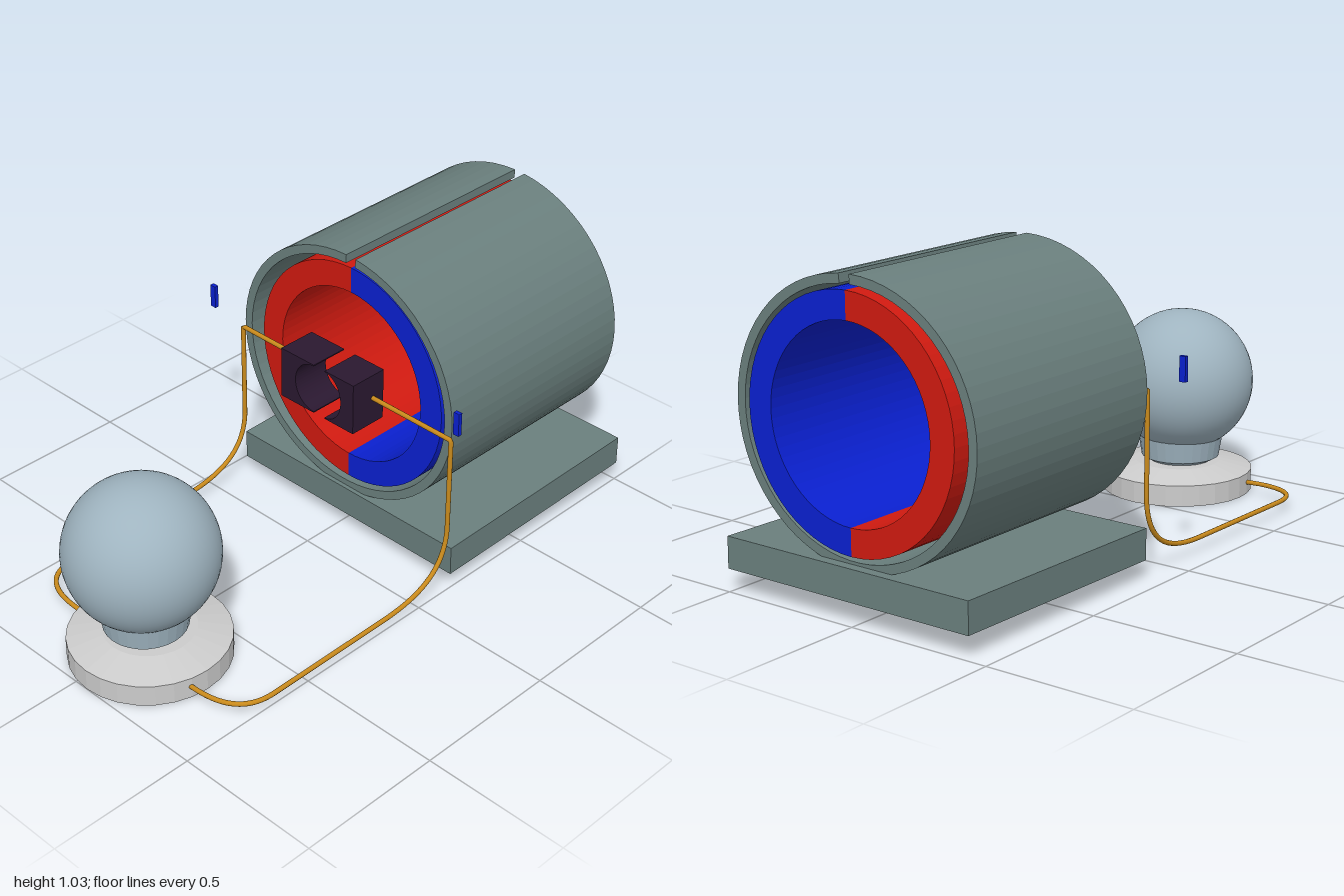
import * as THREE from 'three';

const mat = (color, flat = true) => new THREE.MeshStandardMaterial({ color, flatShading: flat });
const STEEL = mat(0x6a7f7d), RED = mat(0xd01a10), BLUE = mat(0x0a20d0), CARBON = mat(0x2a1830);
const COPPER = mat(0xc98a1c, false), GLASS = mat(0x9fb4c0, false), CAP = mat(0x9fb4c0), GREY = mat(0xcccccc);

export function createModel() {
  const model = new THREE.Group();

  const add = (name, geometry, material, x = 0, y = 0, z = 0) => {
    const mesh = new THREE.Mesh(geometry, material);
    mesh.name = name;
    mesh.position.set(x, y, z);
    model.add(mesh);
    return mesh;
  };

  // Part of a ring, from angle a to b in degrees, extruded along z
  const ringSector = (rOut, rIn, a, b, depth, segments) => {
    const s = THREE.MathUtils.degToRad(a), e = THREE.MathUtils.degToRad(b);
    const shape = new THREE.Shape();
    shape.absarc(0, 0, rOut, s, e, false);
    shape.absarc(0, 0, rIn, e, s, true);
    return new THREE.ExtrudeGeometry(shape, { depth, bevelEnabled: false, curveSegments: segments });
  };

  // Slotted steel shell around the two half-ring magnets
  const shell = add('magnetShell', ringSector(0.459, 0.428, 90, 445, 0.805, 32), STEEL, 0.015, 0.594, -0.96);
  shell.scale.y = 0.957;
  add('leftMagnet', ringSector(0.394, 0.306, 90, 270, 0.8, 16), RED, 0.027, 0.593, -0.965);
  add('rightMagnet', ringSector(0.394, 0.306, -90, 90, 0.8, 16), BLUE, 0.027, 0.593, -0.965);

  // Slightly tilted base plate
  const plate = add('basePlate', new THREE.BoxGeometry(0.94, 0.103, 0.855), STEEL, 0.035, 0.118, -0.568);
  plate.rotation.x = 0.014;

  // Brush blocks with a round hollow facing the middle
  const brush = (name, x, width, hollow, dir) => {
    const h = 0.09;
    const shape = new THREE.Shape();
    shape.moveTo(0, -h);
    shape.lineTo(width, -h);
    shape.lineTo(width, h);
    shape.lineTo(0, h);
    shape.absellipse(0, 0, hollow, h - 0.004, Math.PI / 2, -Math.PI / 2, true);
    const geometry = new THREE.ExtrudeGeometry(shape, { depth: 0.138, bevelEnabled: false, curveSegments: 14 });
    const mesh = add(name, geometry, CARBON, x, 0.59, dir > 0 ? -0.164 : -0.026);
    if (dir < 0) mesh.rotation.y = Math.PI;
  };
  brush('leftBrush', 0.05, 0.125, 0.07, 1);
  brush('rightBrush', 0.002, 0.146, 0.082, -1);

  // Wires: out of the brush, down, forward and round into the lamp base
  const wire = (name, brushX, sideX, lampX, topY, z) => {
    const v = (x, y, zz) => new THREE.Vector3(x, y, zz);
    const inward = Math.sign(lampX - sideX);
    const p = [v(brushX, 0.595, z), v(sideX, topY, z), v(sideX, 0.25, z), v(sideX, 0.05, 0.17),
      v(sideX, 0.047, 0.65), v(sideX + inward * 0.17, 0.043, 0.8), v(lampX, 0.04, 0.8)];
    const path = new THREE.CurvePath();
    path.add(new THREE.LineCurve3(p[0], p[1]));
    path.add(new THREE.LineCurve3(p[1], p[2]));
    path.add(new THREE.CubicBezierCurve3(p[2], v(sideX, 0.1, z + 0.01), v(sideX, 0.052, 0), p[3]));
    path.add(new THREE.LineCurve3(p[3], p[4]));
    path.add(new THREE.CubicBezierCurve3(p[4], v(sideX, 0.047, 0.75), v(sideX + inward * 0.06, 0.045, 0.795), p[5]));
    path.add(new THREE.LineCurve3(p[5], p[6]));
    add(name, new THREE.TubeGeometry(path, 180, 0.008, 10), COPPER);
  };
  wire('leftWire', 0.17, 0.505, 0.28, 0.592, -0.116);
  wire('rightWire', -0.14, -0.423, -0.19, 0.598, -0.124);

  // Lamp: hollow foot, tapered socket and globe
  const lathe = (name, profile, material, segments) => add(name,
    new THREE.LatheGeometry(profile.map(([r, y]) => new THREE.Vector2(r, y)), segments), material, 0.05, 0, 0.74);
  lathe('lampFoot', [[0, 0.04], [0.205, 0.04], [0.205, 0], [0.26, 0], [0.26, 0.073], [0.15, 0.1], [0, 0.1]], GREY, 28);
  const socket = lathe('lampSocket', [[0.09, 0.09], [0.135, 0.115], [0.147, 0.19], [0.12, 0.2]], CAP, 28);
  socket.position.set(0.043, 0, 0.748);
  add('lampGlobe', new THREE.SphereGeometry(0.246, 48, 32), GLASS, 0.041, 0.384, 0.75);

  // Small plain markers beside the wire corners
  for (const x of [-0.54, 0.537]) add('currentMarker', new THREE.BoxGeometry(0.022, 0.08, 0.014), BLUE, x, 0.675, -0.105);

  return model;
}
